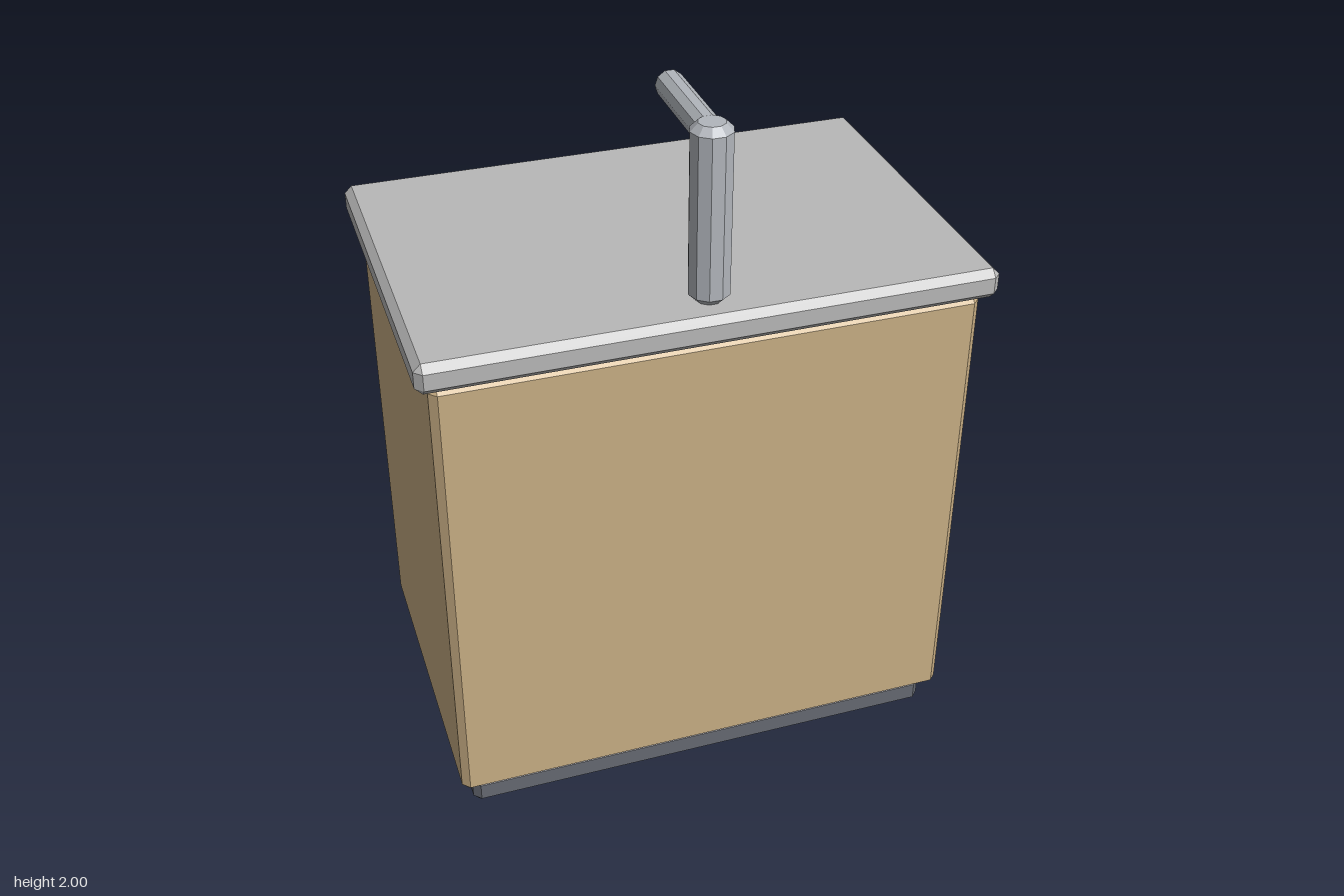
import * as THREE from 'three';
import { ConvexGeometry } from 'three/addons/geometries/ConvexGeometry.js';

const BEVEL = 0.02;
const SIDES = 10;

const paint = (color) => new THREE.MeshStandardMaterial({ color, flatShading: true });

function part(name, geometry, material) {
  const mesh = new THREE.Mesh(geometry, material);
  mesh.name = name;
  return mesh;
}

// Box with every edge cut by a flat chamfer, resting on y = bottom
function chamferedBox(width, depth, bottom, top) {
  const half = [width / 2, (top - bottom) / 2, depth / 2];
  const points = [];
  for (const sx of [-1, 1]) for (const sy of [-1, 1]) for (const sz of [-1, 1]) {
    for (let outer = 0; outer < 3; outer++) {
      const [x, y, z] = half.map((h, axis) => (axis === outer ? h : h - BEVEL));
      points.push(new THREE.Vector3(sx * x, sy * y, sz * z));
    }
  }
  return new ConvexGeometry(points).translate(0, (bottom + top) / 2, 0);
}

// Faceted rod with chamfered ends, standing on y = 0
function chamferedRod(radius, length) {
  const profile = [
    [0, 0], [radius - BEVEL, 0], [radius, BEVEL],
    [radius, length - BEVEL], [radius - BEVEL, length], [0, length],
  ].map(([x, y]) => new THREE.Vector2(x, y));
  return new THREE.LatheGeometry(profile, SIDES, Math.PI / 2);
}

export function createModel() {
  const model = new THREE.Group();
  model.name = 'sinkCabinet';

  // Cabinet: recessed plinth, wooden body, overhanging worktop
  model.add(
    part('plinth', chamferedBox(1.38, 0.88, 0, 0.09), paint(0x666a72)),
    part('cabinetBody', chamferedBox(1.45, 0.95, 0.09, 1.44), paint(0xc8ae84)),
    part('worktop', chamferedBox(1.52, 1.01, 1.44, 1.525), paint(0xb8b8b8)),
  );

  // Tap: upright post with a spout reaching back over the worktop
  const metal = paint(0xb2b6bc);
  const tap = new THREE.Group();
  tap.name = 'tap';
  const post = part('tapPost', chamferedRod(0.055, 0.475), metal);
  post.position.set(0, 1.525, 0.405);
  const spout = part('tapSpout', chamferedRod(0.038, 0.325), metal);
  spout.rotation.x = Math.PI / 2;
  spout.position.set(0, 1.964, 0.068);
  tap.add(post, spout);
  model.add(tap);

  return model;
}
